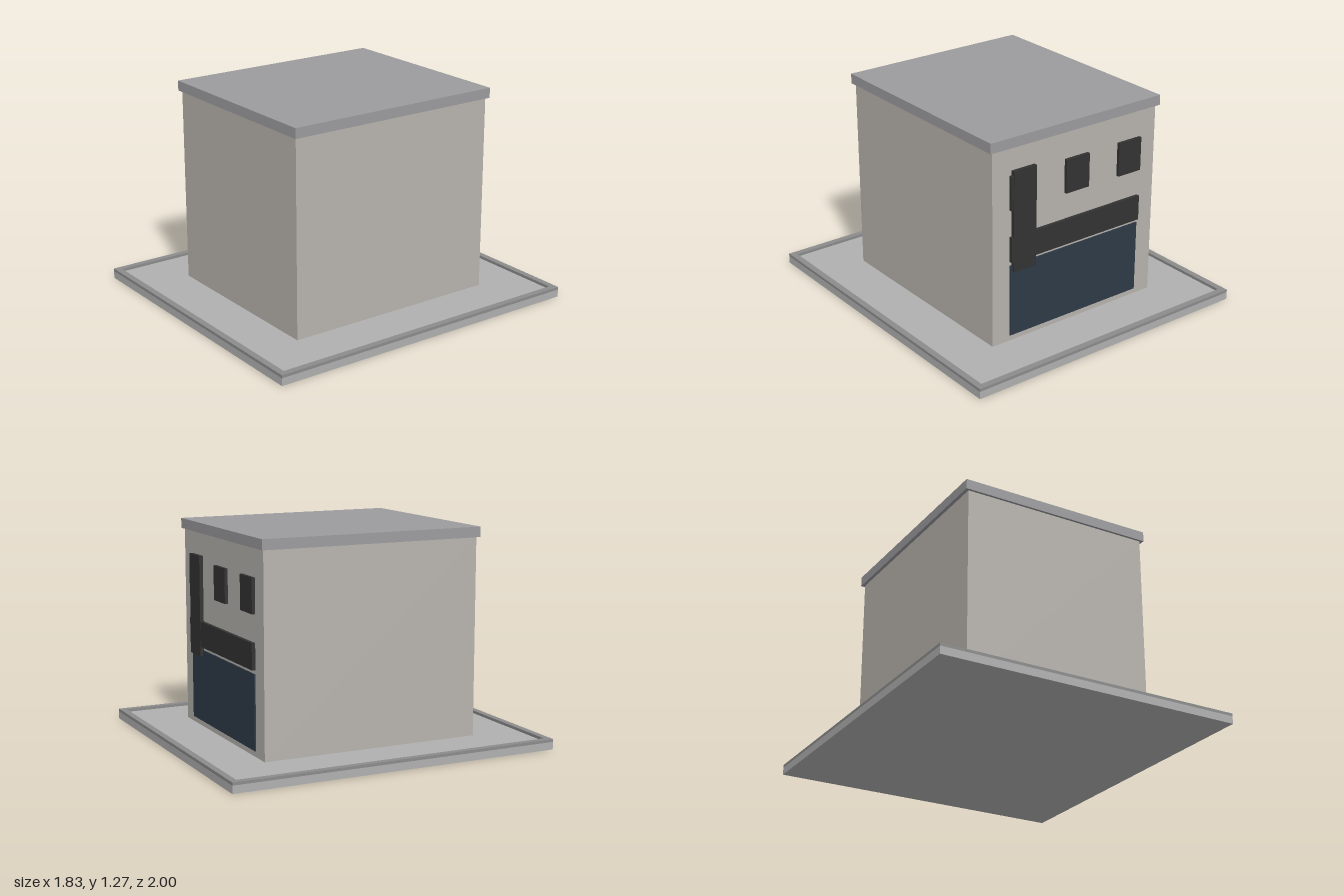
import * as THREE from 'three';

export function createModel() {
  const model = new THREE.Group();
  const mat = (color) => new THREE.MeshStandardMaterial({ color });
  const stone = mat(0xb0b0b0), kerb = mat(0x8c8c8c), plaster = mat(0xb8b4ae);
  const slate = mat(0x9c9c9f), dark = mat(0x333333), blue = mat(0x2f3b48);

  // Box given by its extents on each axis
  const box = (name, material, [x0, x1], [y0, y1], [z0, z1], parent = model) => {
    const mesh = new THREE.Mesh(new THREE.BoxGeometry(x1 - x0, y1 - y0, z1 - z0), material);
    mesh.position.set((x0 + x1) / 2, (y0 + y1) / 2, (z0 + z1) / 2);
    mesh.name = name;
    parent.add(mesh);
    return mesh;
  };

  // Ground slab with a raised rim
  box('groundSlab', stone, [-0.915, 0.915], [0, 0.045], [-1, 1]);
  const rimShape = new THREE.Shape([[-0.915, -1], [0.915, -1], [0.915, 1], [-0.915, 1]]
    .map(([x, y]) => new THREE.Vector2(x, y)));
  rimShape.holes.push(new THREE.Path([[-0.877, -0.962], [-0.877, 0.962], [0.877, 0.962], [0.877, -0.962]]
    .map(([x, y]) => new THREE.Vector2(x, y))));
  const rim = new THREE.Mesh(
    new THREE.ExtrudeGeometry(rimShape, { depth: 0.017, bevelEnabled: false }), kerb);
  rim.rotation.x = -Math.PI / 2;
  rim.position.y = 0.045;
  rim.name = 'groundRim';
  model.add(rim);

  // Building block and overhanging flat roof
  box('walls', plaster, [-0.58, 0.58], [0.045, 1.215], [-0.667, 0.667]);
  box('roof', slate, [-0.6, 0.6], [1.215, 1.275], [-0.682, 0.682]);

  // Fittings on the back wall
  const facade = new THREE.Group();
  facade.name = 'backFacade';
  model.add(facade);
  box('shopWindow', blue, [-0.463, 0.463], [0.08, 0.515], [-0.675, -0.66], facade);
  box('signBand', dark, [-0.463, 0.463], [0.538, 0.69], [-0.688, -0.66], facade);
  box('verticalSign', dark, [0.295, 0.45], [0.478, 1.08], [-0.69, -0.66], facade);
  for (const x of [-0.383, 0, 0.383]) {
    box('upperWindow', dark, [x - 0.082, x + 0.082], [0.85, 1.052], [-0.686, -0.66], facade);
  }

  return model;
}
